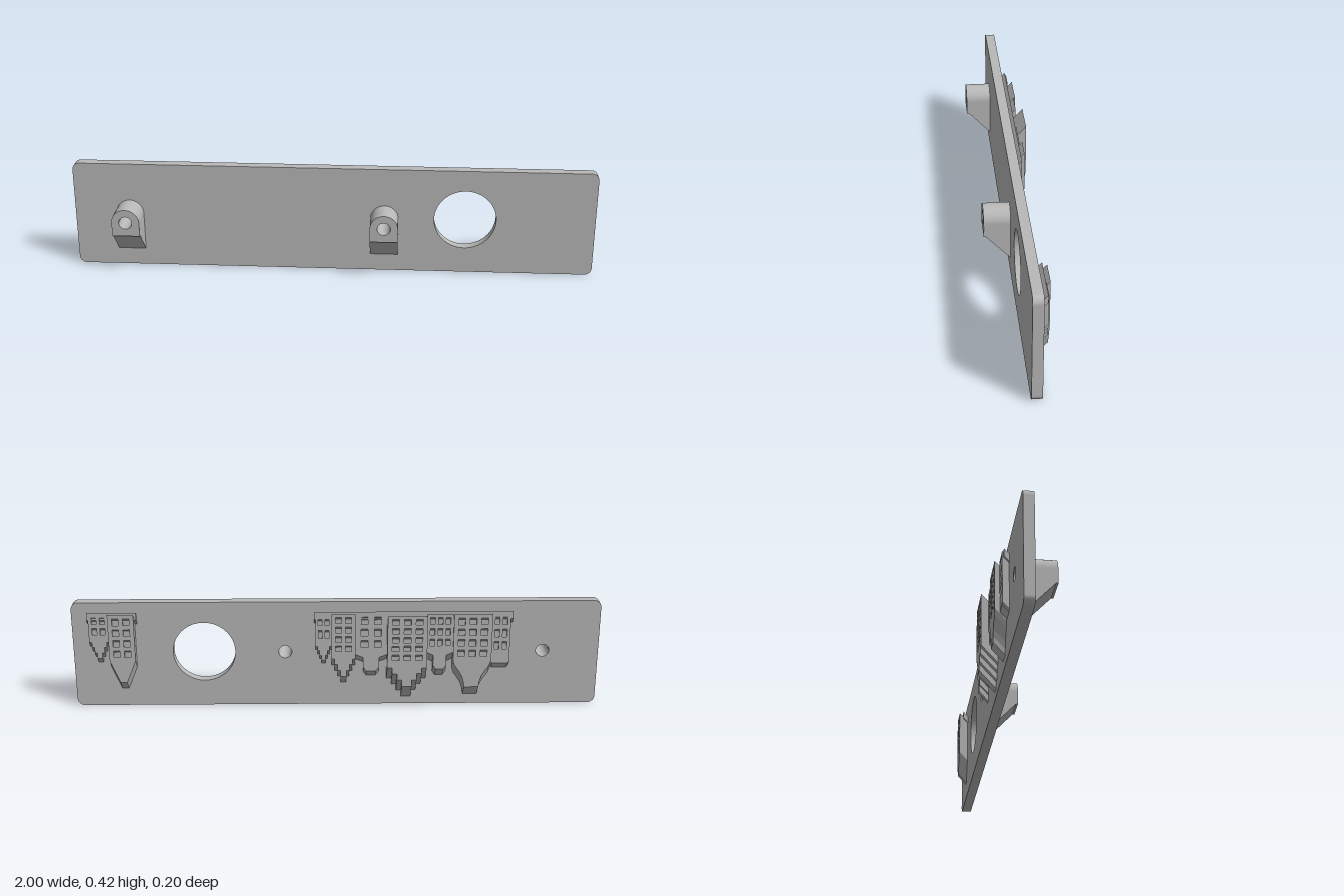
import * as THREE from 'three';

const BACK = -0.038; // back surface of the plate
const LEAN = 1.1;    // rise of the relief per unit of depth

const grey = new THREE.MeshStandardMaterial({ color: 0xb8b8b8 });
grey.name = 'plain grey';

function addMesh(parent, geometry, name) {
  const mesh = new THREE.Mesh(geometry, grey);
  mesh.name = name;
  parent.add(mesh);
  return mesh;
}

function polygon(points) {
  return new THREE.Shape(points.map(([x, y]) => new THREE.Vector2(x, y)));
}

function circle(x, y, r) {
  return new THREE.Path().absarc(x, y, r, 0, Math.PI * 2, true);
}

function extrude(shape, depth) {
  return new THREE.ExtrudeGeometry(shape, { depth, bevelEnabled: false, curveSegments: 32 });
}

// Layer of relief between two depths behind the plate, leaning upwards
function relief(shape, from, to) {
  const lean = new THREE.Matrix4().set(
    1, 0, 0, 0,
    0, 1, -LEAN, 0,
    0, 0, 1, BACK,
    0, 0, 0, 1);
  return extrude(shape, to - from).translate(0, 0, -to).applyMatrix4(lean);
}

// Half gable outlines: [fraction of half width, fraction of gable drop]
const gables = {
  step: [[1, 0], [1, 0.2], [0.75, 0.2], [0.75, 0.45], [0.5, 0.45], [0.5, 0.72], [0.25, 0.72], [0.25, 1]],
  bell: [[1, 0], [0.9, 0.2], [0.7, 0.38], [0.52, 0.58], [0.42, 0.8], [0.38, 1]],
  neck: [[1, 0], [1, 0.15], [0.5, 0.3], [0.5, 0.8], [0.3, 1]],
  point: [[1, 0], [0.25, 1]],
  flat: [[1, 0], [1, 0.8], [0.8, 1]],
};

// Upside-down terraced house with recessed windows
function house({ x0, x1, depth, eave, tip, gable, cols, rows }) {
  const group = new THREE.Group();
  group.name = 'house';
  const mid = (x0 + x1) / 2, half = (x1 - x0) / 2;
  const top = 0.382 - LEAN * depth;
  const side = gables[gable].map(([fx, fy]) => [fx * half, eave + (tip - eave) * fy]);
  const outline = [
    [x0, top],
    ...side.map(([dx, y]) => [mid - dx, y]),
    ...side.map(([dx, y]) => [mid + dx, y]).reverse(),
    [x1, top],
  ];
  const facade = polygon(outline);
  const pitchX = (x1 - x0) / (cols + 0.4), pitchY = (top - eave) / (rows + 0.3);
  const w = Math.min(0.026, pitchX * 0.6) / 2, h = Math.min(0.032, pitchY * 0.62) / 2;
  for (let c = 0; c < cols; c++) {
    for (let r = 0; r < rows; r++) {
      const x = mid + (c - (cols - 1) / 2) * pitchX;
      const y = (top + eave) / 2 + (r - (rows - 1) / 2) * pitchY;
      facade.holes.push(new THREE.Path([[x - w, y - h], [x + w, y - h], [x + w, y + h], [x - w, y + h]]
        .map(([px, py]) => new THREE.Vector2(px, py))));
    }
  }
  addMesh(group, relief(polygon(outline), 0, depth - 0.008), 'houseBody');
  addMesh(group, relief(facade, depth - 0.008, depth), 'houseFacade');
  return group;
}

// Ledge joining the house bases
function ledge(x0, x1) {
  return relief(polygon([[x0, 0.335], [x1, 0.335], [x1, 0.365], [x0, 0.365]]), 0, 0.019);
}

export function createModel() {
  const model = new THREE.Group();
  model.name = 'wallPlate';
  const bossX = [-0.787, 0.196], bossY = 0.218, bore = 0.025;

  // Rounded plate with one large opening and two screw holes
  const r = 0.028, H = 0.42;
  const plate = new THREE.Shape();
  plate.absarc(1 - r, r, r, -Math.PI / 2, 0);
  plate.absarc(1 - r, H - r, r, 0, Math.PI / 2);
  plate.absarc(-1 + r, H - r, r, Math.PI / 2, Math.PI);
  plate.absarc(-1 + r, r, r, Math.PI, Math.PI * 1.5);
  plate.closePath();
  plate.holes.push(circle(0.504, 0.22, 0.118), ...bossX.map((x) => circle(x, bossY, bore)));
  addMesh(model, extrude(plate, -BACK).translate(0, 0, BACK), 'plate');

  // Bosses with sloped supports on the front
  for (const x of bossX) {
    const R = 0.053;
    const ring = new THREE.Shape().absarc(x, bossY, R, 0, Math.PI * 2, false);
    ring.holes.push(circle(x, bossY, bore));
    addMesh(model, extrude(ring, 0.1), 'boss');
    const wedge = polygon([[0, 0.067], [0.092, 0.164], [0.1, 0.164], [0.1, 0.19], [0, 0.19]]);
    addMesh(model, extrude(wedge, R * 2).rotateY(-Math.PI / 2).translate(x + R, 0, 0), 'bossSupport');
    // Cheeks beside the bore
    for (const s of [-1, 1]) {
      const cheek = polygon([[x + s * 0.027, 0.188], [x + s * R, 0.188], [x + s * R, bossY], [x + s * 0.027, bossY]]);
      addMesh(model, extrude(cheek, 0.0995), 'bossCheek');
    }
  }

  // Two rows of houses on the back
  const houses = [
    { x0: 0.02, x1: 0.08, depth: 0.019, eave: 0.24, tip: 0.17, gable: 'step', cols: 2, rows: 2 },
    { x0: -0.07, x1: 0.02, depth: 0.035, eave: 0.18, tip: 0.09, gable: 'step', cols: 2, rows: 4 },
    { x0: -0.19, x1: -0.07, depth: 0.024, eave: 0.2, tip: 0.12, gable: 'neck', cols: 2, rows: 3 },
    { x0: -0.34, x1: -0.19, depth: 0.062, eave: 0.125, tip: 0.03, gable: 'step', cols: 3, rows: 5 },
    { x0: -0.44, x1: -0.34, depth: 0.035, eave: 0.2, tip: 0.12, gable: 'neck', cols: 3, rows: 3 },
    { x0: -0.585, x1: -0.44, depth: 0.042, eave: 0.15, tip: 0.04, gable: 'bell', cols: 3, rows: 4 },
    { x0: -0.655, x1: -0.585, depth: 0.024, eave: 0.19, tip: 0.15, gable: 'flat', cols: 2, rows: 3 },
    { x0: 0.86, x1: 0.935, depth: 0.022, eave: 0.26, tip: 0.18, gable: 'step', cols: 2, rows: 2 },
    { x0: 0.762, x1: 0.86, depth: 0.035, eave: 0.16, tip: 0.07, gable: 'point', cols: 2, rows: 4 },
  ];
  houses.forEach((spec) => model.add(house(spec)));
  addMesh(model, ledge(-0.667, 0.085), 'longLedge');
  addMesh(model, ledge(0.754, 0.94), 'shortLedge');
  return model;
}
